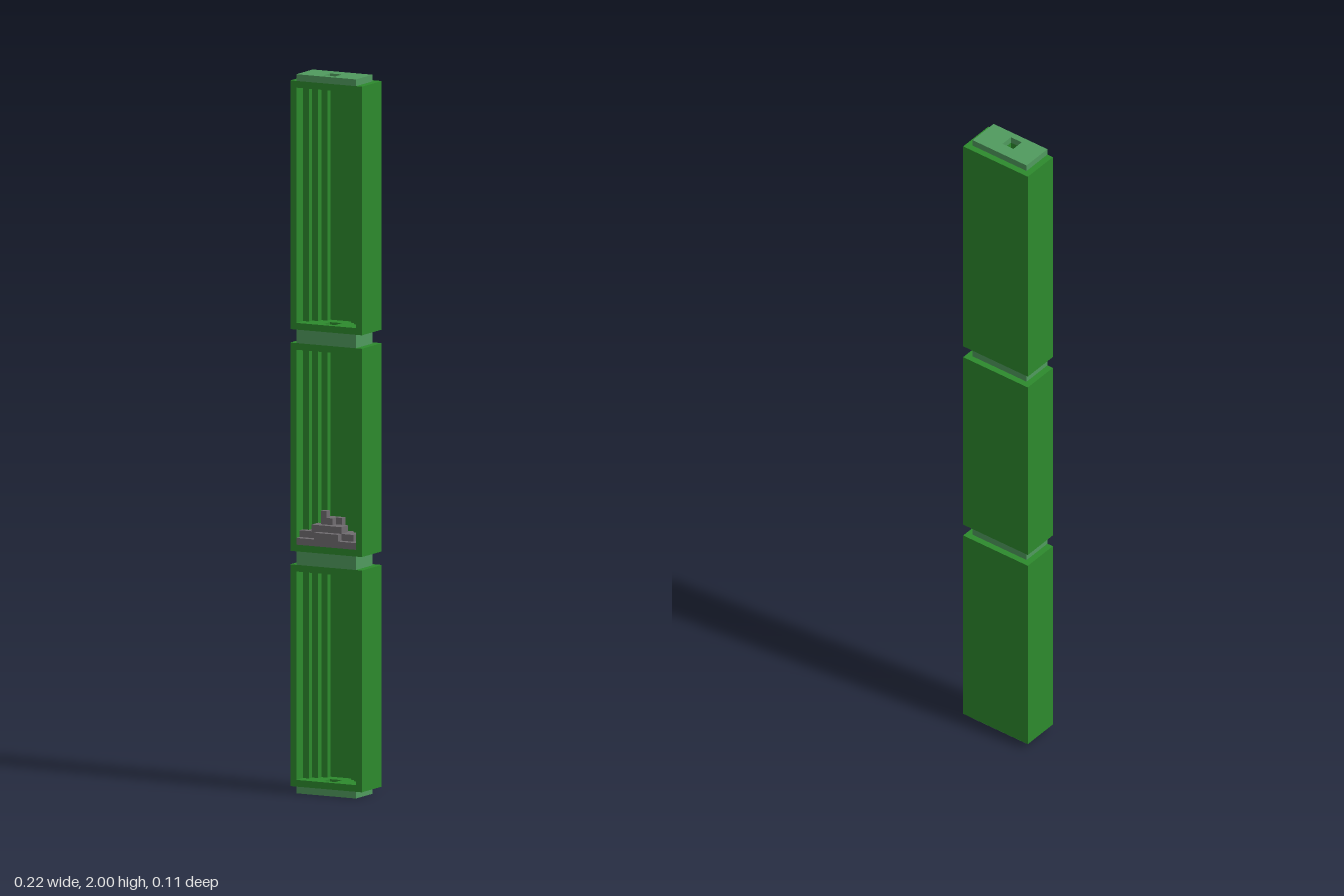
import * as THREE from 'three';

const U = 2 / 107; // one grid cell

export function createModel() {
  const model = new THREE.Group();
  const mat = (name, color) => {
    const m = new THREE.MeshStandardMaterial({ color });
    m.name = name;
    return m;
  };
  const stalkGreen = mat('stalk green', 0x2d8a2d);
  const nodeGreen = mat('pale node green', 0x509a5e);
  const stone = mat('stone grey', 0x706c70);

  const add = (name, geo, material, parent) => {
    const mesh = new THREE.Mesh(geo, material);
    mesh.name = name;
    parent.add(mesh);
    return mesh;
  };
  const outline = pts => pts.map(([x, z]) => new THREE.Vector2(x * U, -z * U));

  // Extrudes an x/z plan between two heights, given in cells
  const slab = (pts, y0, y1, hole) => {
    const shape = new THREE.Shape(outline(pts));
    if (hole) shape.holes.push(new THREE.Path(outline(hole)));
    const geo = new THREE.ExtrudeGeometry(shape, { depth: (y1 - y0) * U, bevelEnabled: false });
    return geo.rotateX(-Math.PI / 2).translate(0, y0 * U, 0);
  };
  const rect = (x0, x1, z0, z1) => [[x0, z1], [x1, z1], [x1, z0], [x0, z0]];
  const shaft = rect(-1, 1, 0, 2);

  // Wall plan: square outside, stepped hollow inside, open at the front
  const steps = [[5, 3], [5, 1], [4, 1], [4, 0], [3, 0], [3, -1], [2, -1], [2, -2]];
  const wall = [
    [-6, 3], [-6, -3], [6, -3], [6, 3],
    ...steps,
    ...steps.map(([x, z]) => [-x, z]).reverse(),
  ];

  // Hollow stalk segments, each with a floor and a ceiling
  [[1, 34], [36, 67], [69, 106]].forEach(([y0, y1], i) => {
    const segment = new THREE.Group();
    segment.name = 'stalkSegment' + (i + 1);
    add('segmentWall', slab(wall, y0 + 1, y1 - 1), stalkGreen, segment);
    add('segmentFloor', slab(rect(-6, 6, -3, 3), y0, y0 + 1, shaft), stalkGreen, segment);
    add('segmentCeiling', slab(rect(-6, 6, -3, 3), y1 - 1, y1, shaft), stalkGreen, segment);
    model.add(segment);
  });

  // Narrow nodes between and at the ends of the segments
  [[0, 1], [34, 36], [67, 69], [106, 107]].forEach(([y0, y1], i) => {
    add('node' + (i + 1), slab(rect(-5, 5, -2, 3), y0, y1, shaft), nodeGreen, model);
  });

  // Stone heap on the middle floor: layer, x range, z range
  const heap = new THREE.Group();
  heap.name = 'stoneHeap';
  [
    [0, -5, 5, 1, 3], [0, -4, 4, 0, 1], [0, -3, 3, -1, 0], [0, -2, 2, -2, -1],
    [1, -5, 4, 1, 2], [1, -4, 4, 0, 1], [1, -3, 3, -1, 0], [1, -2, 2, 2, 3],
    [2, -3, 2, 0, 2], [2, -2, 1, -1, 0],
    [3, -2, 0, 0, 1], [3, -2, 1, -1, 0],
    [4, -2, -1, 0, 1],
  ].forEach(([layer, x0, x1, z0, z1]) => {
    const geo = new THREE.BoxGeometry((x1 - x0) * U, U, (z1 - z0) * U);
    add('stones', geo, stone, heap)
      .position.set((x0 + x1) * U / 2, (37.5 + layer) * U, (z0 + z1) * U / 2);
  });
  model.add(heap);

  return model;
}
